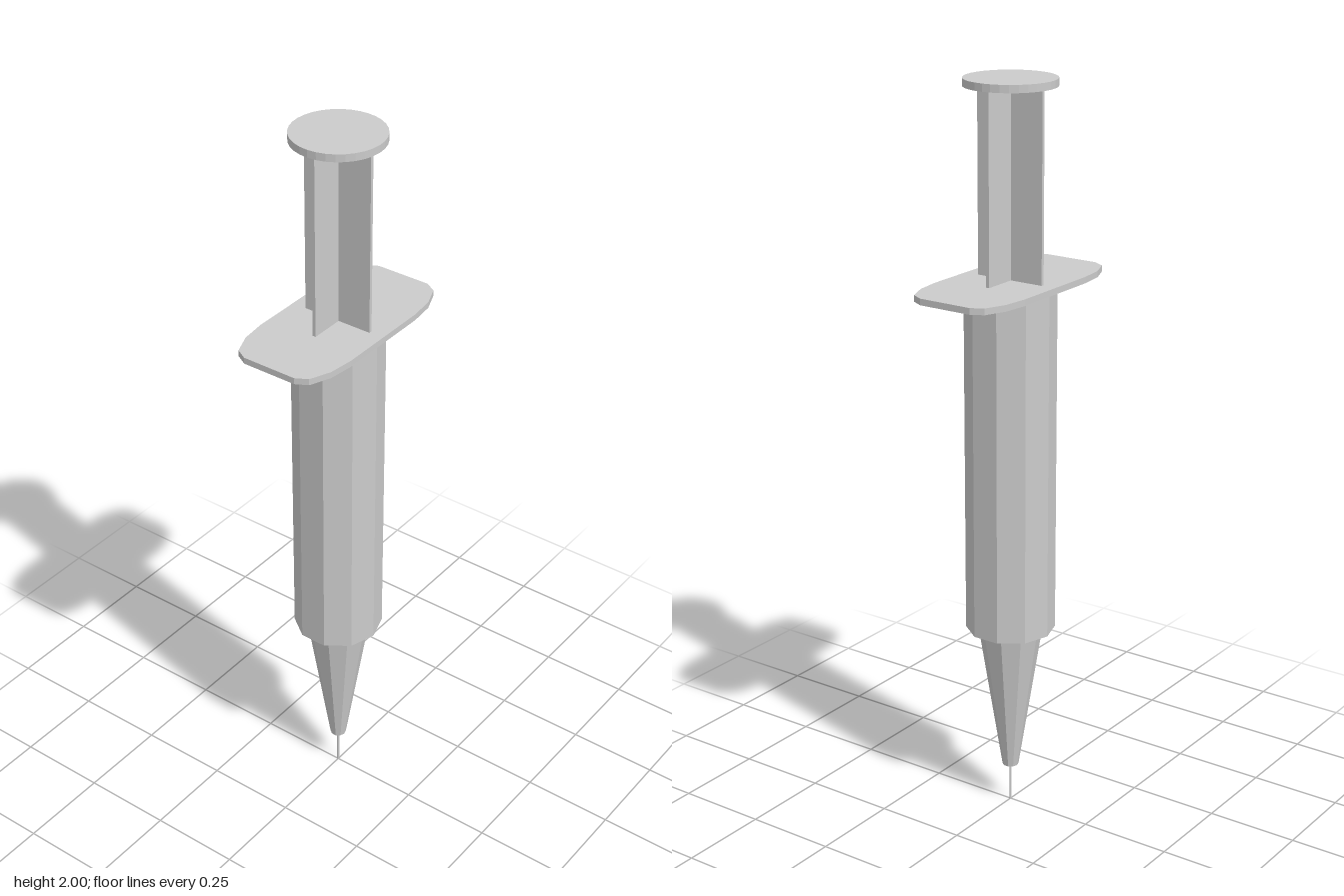
import * as THREE from 'three';

export function createModel() {
  const model = new THREE.Group();
  const material = new THREE.MeshStandardMaterial({ color: 0xcccccc, flatShading: true });

  function add(name, geometry, y) {
    const mesh = new THREE.Mesh(geometry, material);
    mesh.name = name;
    mesh.position.y = y;
    model.add(mesh);
    return mesh;
  }

  // Stacked round part running from y0 to y1
  function round(name, rTop, rBottom, y0, y1, sides) {
    return add(name, new THREE.CylinderGeometry(rTop, rBottom, y1 - y0, sides), (y0 + y1) / 2);
  }

  round('needle', 0.003, 0.003, 0, 0.115, 8);
  round('nozzle', 0.087, 0.022, 0.11, 0.525, 10);
  round('barrel', 0.12, 0.12, 0.525, 1.475, 10);
  round('thumbRest', 0.12, 0.12, 1.98, 2, 32);

  // Finger flange: one quarter of the outline, mirrored to all four corners
  const quarter = [[0.278, 0.076], [0.26, 0.108], [0.204, 0.131], [0.135, 0.139]];
  const back = [...quarter].reverse();
  const outline = [
    ...quarter,
    ...back.map(([x, z]) => [-x, z]),
    ...quarter.map(([x, z]) => [-x, -z]),
    ...back.map(([x, z]) => [x, -z]),
  ].map(([x, z]) => new THREE.Vector2(x, z));
  const flange = new THREE.ExtrudeGeometry(new THREE.Shape(outline), { depth: 0.017, bevelEnabled: false });
  flange.rotateX(-Math.PI / 2);
  add('fingerFlange', flange, 1.47);

  // Plunger rod: two crossed plates
  for (const [name, angle] of [['plungerPlateWide', 0], ['plungerPlateDeep', Math.PI / 2]]) {
    add(name, new THREE.BoxGeometry(0.198, 0.505, 0.009), 1.7325).rotation.y = angle;
  }

  return model;
}
